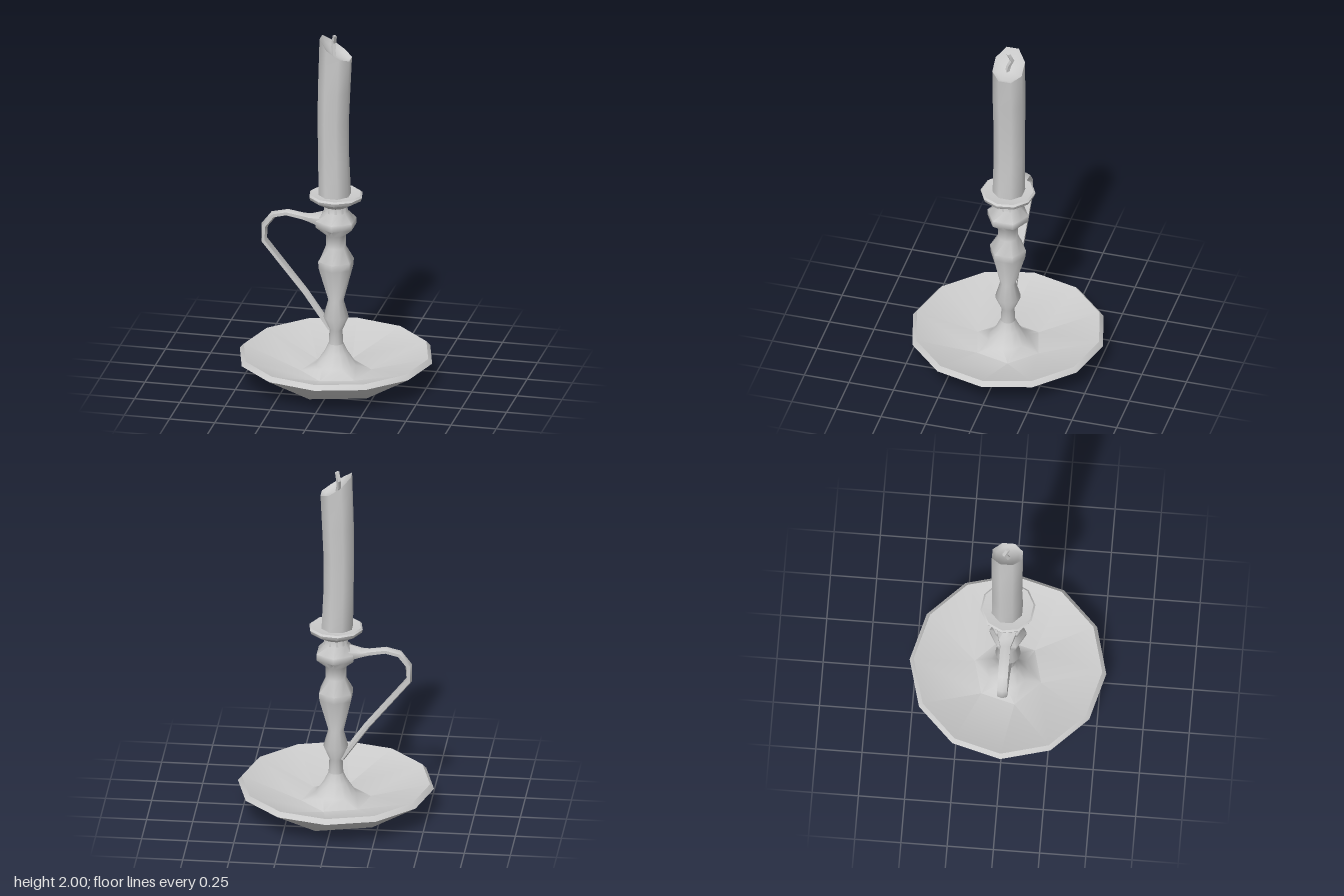
import * as THREE from 'three';
import { toCreasedNormals } from 'three/addons/utils/BufferGeometryUtils.js';

const material = new THREE.MeshStandardMaterial({ color: 0xcccccc });

function add(group, name, geometry, crease) {
  const mesh = new THREE.Mesh(toCreasedNormals(geometry, crease), material);
  mesh.name = name;
  group.add(mesh);
}

// Skin a stack of equal rings, each running clockwise as seen from the far end.
function loft(rings) {
  const n = rings[0].length;
  const positions = [];
  const index = [];
  rings.forEach((ring) => ring.forEach((p) => positions.push(p.x, p.y, p.z)));
  for (let i = 0; i < rings.length - 1; i++) {
    for (let j = 0; j < n; j++) {
      const a = i * n + j;
      const b = i * n + (j + 1) % n;
      index.push(a, a + n, b, b, a + n, b + n);
    }
  }
  const geometry = new THREE.BufferGeometry();
  geometry.setAttribute('position', new THREE.Float32BufferAttribute(positions, 3));
  geometry.setIndex(index);
  return geometry;
}

// Twelve-point rings for the dish and stem: round, a hexagon with corners at
// front and back, or a hexagon made by joining neighbouring points in pairs.
const STEP = Math.PI / 6;
const ringOf = (y, angle, radius) => Array.from({ length: 12 }, (_, j) =>
  new THREE.Vector3(Math.cos(angle(j)) * radius(j), y, Math.sin(angle(j)) * radius(j)));
const round = (r, y) => ringOf(y, (j) => j * STEP, () => r);
const hexagon = (r, y) => ringOf(y, (j) => j * STEP, (j) => (j % 2 ? r : r * Math.cos(STEP)));
const paired = (r, y) => ringOf(y, (j) => (j + (j % 2 ? 0.5 : -0.5)) * STEP, () => r);

// Rod along [x, y, z, in-plane radius, sideways radius] stations, bending in the xy plane.
function rod(stations, sides) {
  const at = (i) => stations[Math.min(Math.max(i, 0), stations.length - 1)];
  const rings = stations.map(([x, y, z, r, w], i) => {
    const normal = new THREE.Vector2(at(i - 1)[1] - at(i + 1)[1], at(i + 1)[0] - at(i - 1)[0]).normalize();
    return Array.from({ length: sides }, (_, j) => {
      const t = (j / sides) * Math.PI * 2;
      const k = Math.cos(t) * r;
      return new THREE.Vector3(x + normal.x * k, y + normal.y * k, z - Math.sin(t) * w);
    });
  });
  const cap = ([x, y, z]) => Array.from({ length: sides }, () => new THREE.Vector3(x, y, z));
  return loft([cap(at(0)), ...rings, cap(at(stations.length))]);
}

// Leaning eight-sided candle with an obliquely melted, hollowed top.
function candleGeometry() {
  const ring = (cx, r, height) => Array.from({ length: 8 }, (_, j) => {
    const t = ((j + 0.5) / 8) * Math.PI * 2;
    const c = Math.cos(t);
    return new THREE.Vector3(cx + c * r, height(c), Math.sin(t) * r - 0.003);
  });
  const level = (y) => () => y;
  const melt = (c) => 1.911 - 0.062 * c + 0.017 * c * c;
  return loft([
    ring(-0.007, 0, level(1.07)),
    ring(-0.007, 0.089, level(1.07)),
    ring(-0.014, 0.085, level(1.3)),
    ring(-0.016, 0.086, level(1.5)),
    ring(-0.011, 0.089, level(1.68)),
    ring(-0.002, 0.089, melt),
    ring(-0.004, 0.066, (c) => melt(c * 0.75) - 0.015),
    ring(-0.01, 0, level(1.88)),
  ]);
}

export function createModel() {
  const group = new THREE.Group();
  group.name = 'candlestick';

  // Twelve-sided drip dish on a hexagonal base, its floor sweeping up into the stem's foot
  add(group, 'dish', loft([
    paired(0, 0), paired(0.31, 0), round(0.532, 0.145), round(0.51, 0.17), paired(0.19, 0.063),
    round(0.11, 0.1), round(0.064, 0.17), round(0.04, 0.22), round(0.036, 0.25),
  ]), 0.8);

  // Turned stem with hexagonal bulges
  add(group, 'stem', loft([
    round(0.04, 0.22), round(0.036, 0.3), round(0.069, 0.375), round(0.042, 0.47),
    hexagon(0.098, 0.66), hexagon(0.101, 0.7), round(0.056, 0.78), round(0.056, 0.85),
    hexagon(0.115, 0.9), hexagon(0.115, 0.935), round(0.066, 0.985), round(0.064, 1.02),
  ]), 1.1);

  // Ten-sided cup with a bevelled rim
  const cup = [[0.066, 0.985], [0.064, 1.015], [0.144, 1.06], [0.149, 1.078], [0.139, 1.087], [0.09, 1.08], [0, 1.08]];
  add(group, 'cup', new THREE.LatheGeometry(cup.map(([r, y]) => new THREE.Vector2(r, y)), 10, 0.17), 0.8);

  // Bent handle from the collar down to the lower stem
  add(group, 'handle', rod([
    [-0.075, 0.93, 0, 0.048, 0.065], [-0.14, 0.933, 0, 0.023, 0.044], [-0.18, 0.938, 0, 0.019, 0.031],
    [-0.27, 0.953, 0, 0.017, 0.031], [-0.345, 0.935, 0, 0.019, 0.031], [-0.395, 0.87, 0, 0.019, 0.031],
    [-0.397, 0.785, 0, 0.018, 0.031], [-0.17, 0.505, 0, 0.018, 0.028], [-0.03, 0.305, 0, 0.018, 0.028],
  ], 6), 1.2);

  add(group, 'candle', candleGeometry(), 0.85);

  // Crooked wick
  add(group, 'wick', rod([
    [-0.008, 1.87, 0.008, 0.013, 0.013], [-0.015, 1.91, 0, 0.013, 0.013],
    [-0.016, 1.95, -0.018, 0.013, 0.013], [-0.006, 1.997, 0, 0.012, 0.012],
  ], 4), 0.6);

  return group;
}
